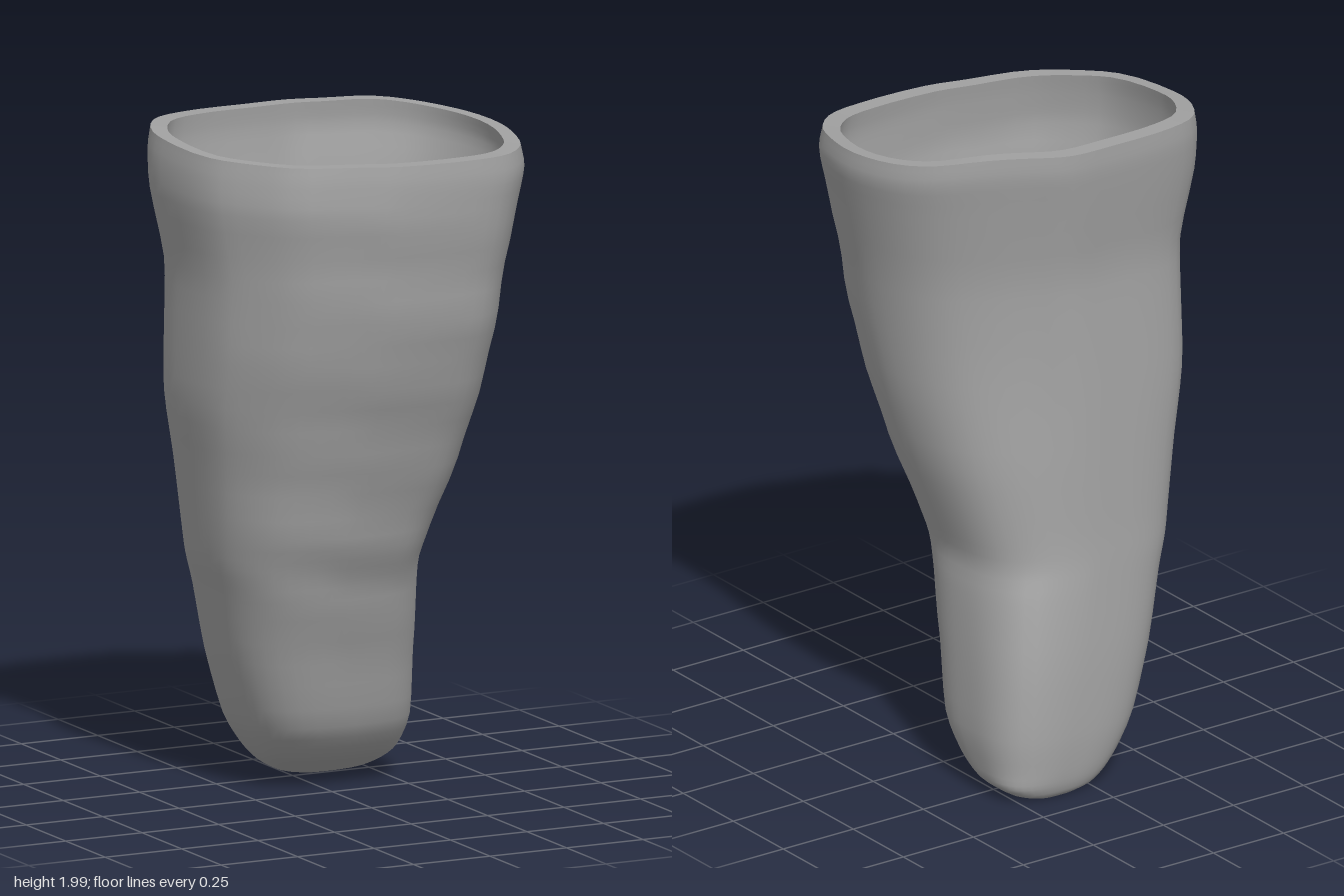
import * as THREE from 'three';

const SIDES = 56;

// Height, then the x and z extents of the outer skin at that height
const profile = [
  [0.005, 0.03, 0.20, -0.395, -0.26],
  [0.02, -0.03, 0.25, -0.41, -0.21],
  [0.05, -0.08, 0.29, -0.42, -0.15],
  [0.1, -0.135, 0.30, -0.425, -0.06],
  [0.2, -0.205, 0.31, -0.427, 0.02],
  [0.4, -0.275, 0.30, -0.415, 0.07],
  [0.6, -0.325, 0.285, -0.395, 0.13],
  [0.7, -0.355, 0.275, -0.385, 0.165],
  [0.8, -0.375, 0.30, -0.375, 0.20],
  [1.0, -0.41, 0.36, -0.36, 0.26],
  [1.2, -0.45, 0.40, -0.345, 0.325],
  [1.4, -0.46, 0.425, -0.33, 0.385],
  [1.6, -0.468, 0.45, -0.32, 0.41],
  [1.8, -0.508, 0.49, -0.345, 0.432],
  [1.9, -0.51, 0.51, -0.357, 0.432],
  [1.965, -0.50, 0.50, -0.355, 0.425],
];

// Skewed oval of the opening, seen from above
const mouth = new THREE.CatmullRomCurve3([
  [-0.51, -0.1], [-0.49, -0.22], [-0.42, -0.32], [-0.3, -0.355], [-0.1, -0.36],
  [0.04, -0.355], [0.15, -0.31], [0.3, -0.24], [0.41, -0.16], [0.48, -0.05],
  [0.51, 0.1], [0.49, 0.24], [0.45, 0.34], [0.37, 0.41], [0.25, 0.43],
  [0.02, 0.42], [-0.1, 0.385], [-0.28, 0.33], [-0.4, 0.23], [-0.48, 0.12],
].map(([x, z]) => new THREE.Vector3(x / 0.51, 0, (z - 0.035) / 0.395)), true);
const unitMouth = mouth.getPoints(SIDES).slice(0, SIDES);

// Smooth the profile into closely spaced rows
const xCurve = new THREE.CatmullRomCurve3(
  profile.map(([y, a, b]) => new THREE.Vector3(a, y, b)), false, 'catmullrom', 0.4);
const zCurve = new THREE.CatmullRomCurve3(
  profile.map(([y, , , a, b]) => new THREE.Vector3(a, y, b)), false, 'catmullrom', 0.4);
const STEPS = (profile.length - 1) * 3;
const rows = Array.from({ length: STEPS + 1 }, (_, i) => {
  const p = xCurve.getPoint(i / STEPS), q = zCurve.getPoint(i / STEPS);
  return [p.y, p.x, p.z, q.x, q.z];
});

// One cross-section: rounded box near the toe, skewed oval near the mouth
function ring([y, x0, x1, z0, z1], insetX = 0, insetZ = 0, scale = 1) {
  const blend = THREE.MathUtils.smoothstep(y, 0.15, 1.35);
  const lift = THREE.MathUtils.smoothstep(y, 1.65, 1.96);
  const cx = (x0 + x1) / 2, cz = (z0 + z1) / 2;
  const rx = ((x1 - x0) / 2 - insetX) * scale, rz = ((z1 - z0) / 2 - insetZ) * scale;
  return unitMouth.map((p) => {
    const a = Math.atan2(p.z, p.x), c = Math.cos(a), s = Math.sin(a);
    const r = Math.pow(Math.abs(c) ** 3 + Math.abs(s) ** 3, -1 / 3);
    const u = THREE.MathUtils.lerp(r * c, p.x, blend);
    const v = THREE.MathUtils.lerp(r * s, p.z, blend);
    // soft folds across the front
    const fold = 0.005 * Math.sin(y * 26 + u * 2) * Math.max(0, v)
      * THREE.MathUtils.smoothstep(y, 0.3, 0.6) * (1 - lift);
    // the mouth rises to the back, with a small peak at the back left
    const peak = 0.015 * Math.exp(-((u - 0.5) ** 2 + (v + 0.7) ** 2) * 9);
    return [cx + u * rx, y + lift * (peak - 0.026 * v), cz + v * rz + fold];
  });
}

// Skin a list of rings
function loft(name, rings, material) {
  const index = [];
  for (let j = 0; j < rings.length - 1; j++) {
    for (let i = 0; i < SIDES; i++) {
      const k = (i + 1) % SIDES;
      const a = j * SIDES + i, b = j * SIDES + k;
      index.push(a, a + SIDES, b, b, a + SIDES, b + SIDES);
    }
  }
  const geometry = new THREE.BufferGeometry();
  geometry.setAttribute('position', new THREE.Float32BufferAttribute(rings.flat(2), 3));
  geometry.setIndex(index);
  geometry.computeVertexNormals();
  const mesh = new THREE.Mesh(geometry, material);
  mesh.name = name;
  return mesh;
}

export function createModel() {
  const group = new THREE.Group();
  group.name = 'hollowSleeve';
  const grey = new THREE.MeshStandardMaterial({ color: 0xa0a0a0 });
  grey.name = 'grey';

  const bottom = rows[0], top = rows[STEPS];
  const inX = 0.038, inZ = 0.053;

  // Outer skin with its closed toe
  const outer = [ring(bottom, 0, 0, 0.01), ...rows.map((r) => ring(r))];

  // Inner skin, running down to a rounded floor
  const inner = rows.filter((r) => r[0] > 0.15).reverse().map((r) => ring(r, inX, inZ));
  const floor = rows.find((r) => r[0] > 0.15);
  [[0.03, 0.93], [0.055, 0.78], [0.07, 0.5], [0.075, 0.01]].forEach(([drop, scale]) => {
    const r = [...floor];
    r[0] -= drop;
    inner.push(ring(r, inX, inZ, scale));
  });

  group.add(loft('outerSkin', outer, grey));
  group.add(loft('rim', [ring(top), ring(top, inX, inZ)], grey));
  group.add(loft('innerSkin', inner, grey));
  return group;
}
